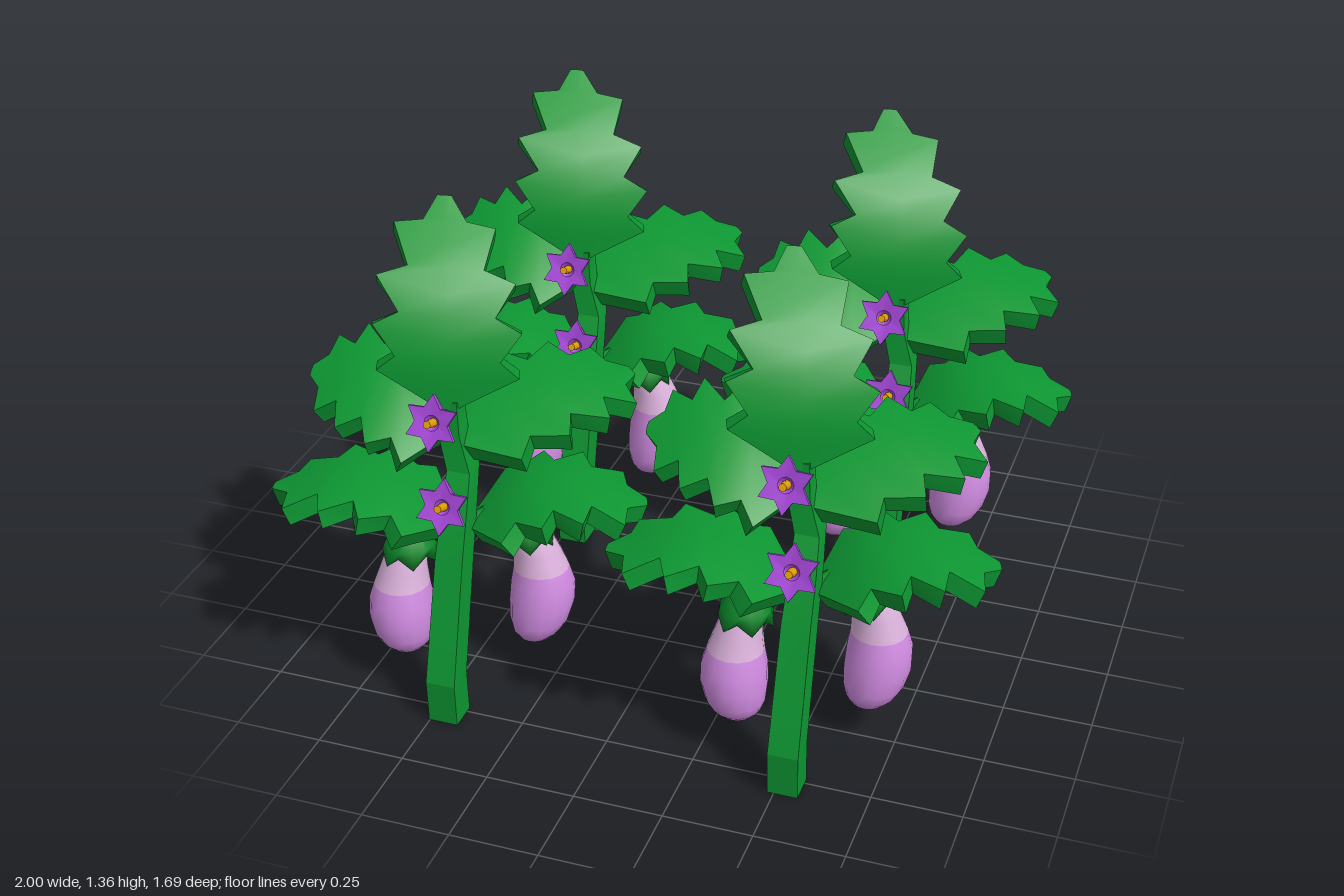
import * as THREE from 'three';
import { toCreasedNormals } from 'three/addons/utils/BufferGeometryUtils.js';

const mat = (name, color) => Object.assign(new THREE.MeshStandardMaterial({ color }), { name });
const V = (p) => new THREE.Vector3(...p);

function addMesh(parent, name, geometry, material) {
  const mesh = new THREE.Mesh(geometry, material);
  mesh.name = name;
  parent.add(mesh);
  return mesh;
}

function indexed(pos, index) {
  const g = new THREE.BufferGeometry();
  g.setAttribute('position', new THREE.Float32BufferAttribute(pos, 3));
  g.setIndex(index);
  g.computeVertexNormals();
  return g;
}

// Level rings from bottom to top: [x, y, z, radius, radius of odd corners, lift of odd corners]
function loft(rings, sides, turn = 0) {
  const pos = [], index = [];
  rings.forEach(([x, y, z, r, rOdd = r, lift = 0], i) => {
    for (let j = 0; j < sides; j++) {
      const a = turn + (j / sides) * Math.PI * 2, q = j % 2 ? rOdd : r;
      pos.push(x + q * Math.cos(a), y + (j % 2 ? lift : 0), z - q * Math.sin(a));
      if (i === rings.length - 1) continue;
      const k = (j + 1) % sides, b = i * sides, t = b + sides;
      index.push(b + j, b + k, t + k, b + j, t + k, t + j);
    }
  });
  return indexed(pos, index);
}

// Toothed outline: [distance along leaf, half width, forward sweep of the tooth]
const TEETH = [
  [0, 0.12, 0], [0.1, 0.55, 0], [0.18, 0.98, 0.02], [0.3, 0.72, 0], [0.4, 1.02, 0.06],
  [0.53, 0.66, 0], [0.62, 0.95, 0.08], [0.74, 0.52, 0], [0.81, 0.7, 0.09], [0.91, 0.3, 0], [1, 0.1, 0],
];

// Thick leaf bent along a curve, with its edges drooping a little
function leafGeometry(spine, across, halfWidth, thick = 0.055) {
  const curve = new THREE.CatmullRomCurve3(spine.map(V));
  const side = V(across).normalize();
  const pos = [], index = [];
  for (const [t, w, sweep] of TEETH) {
    for (const layer of [0, 1]) {
      for (const c of [-1, 0, 1]) {
        const u = Math.min(1, t + Math.abs(c) * sweep);
        const n = curve.getTangent(u).cross(side).normalize();
        const p = curve.getPoint(u)
          .addScaledVector(side, c * w * halfWidth)
          .addScaledVector(n, -layer * thick - Math.abs(c) * w * 0.02);
        pos.push(p.x, p.y, p.z);
      }
    }
  }
  const quad = (a, b, c, d) => index.push(a, b, c, a, c, d);
  for (let r = 0; r < TEETH.length - 1; r++) {
    const a = r * 6, b = a + 6;
    // upper face, lower face, two rims
    quad(a + 1, a, b, b + 1);
    index.push(a + 2, a + 1, b + 1, a + 2, b + 1, b + 2);
    quad(b + 4, b + 3, a + 3, a + 4);
    quad(b + 5, b + 4, a + 4, a + 5);
    quad(a, a + 3, b + 3, b);
    quad(a + 5, a + 2, b + 2, b + 5);
  }
  // blunt ends
  const e = (TEETH.length - 1) * 6;
  for (const c of [0, 1]) {
    quad(c, c + 1, c + 4, c + 3);
    quad(e + c + 1, e + c, e + c + 3, e + c + 4);
  }
  return toCreasedNormals(indexed(pos, index), 0.6);
}

const LEAVES = [
  ['lowerRightLeaf', [[-0.49, 0.53, 0.6], [-0.64, 0.63, 0.62], [-0.8, 0.655, 0.65], [-1, 0.59, 0.68]], [0.17, 0, 0.98], 0.19],
  ['lowerLeftLeaf', [[-0.45, 0.53, 0.6], [-0.32, 0.63, 0.54], [-0.17, 0.655, 0.49], [0.01, 0.59, 0.43]], [-0.36, 0, -0.93], 0.2],
  ['upperRightLeaf', [[-0.5, 0.81, 0.57], [-0.65, 0.89, 0.57], [-0.8, 0.91, 0.54], [-0.94, 0.88, 0.52]], [0.1, -0.45, 0.88], 0.185],
  ['upperLeftLeaf', [[-0.5, 0.77, 0.57], [-0.38, 0.84, 0.43], [-0.25, 0.87, 0.3], [-0.13, 0.835, 0.16]], [-0.77, 0.22, -0.64], 0.19],
  ['topLeaf', [[-0.5, 0.87, 0.59], [-0.495, 1.03, 0.58], [-0.52, 1.2, 0.51], [-0.61, 1.36, 0.3]], [-0.92, 0.1, 0.36], 0.195],
];

// Fruit profile: [height fraction, radius]
const FRUIT = [[0, 0], [0.03, 0.045], [0.09, 0.068], [0.18, 0.084], [0.32, 0.093], [0.47, 0.091],
  [0.6, 0.079], [0.75, 0.066], [0.9, 0.056], [1, 0.04]];

function addFruit(parent, m, name, bottom, top, bend) {
  const group = new THREE.Group();
  group.name = name;
  parent.add(group);
  const sides = 16, split = 6;
  const at = (t) => {
    const s = Math.sin(Math.PI * t);
    return [0, 1, 2].map((k) => bottom[k] + (top[k] - bottom[k]) * t + bend[k] * s);
  };
  const body = loft(FRUIT.map(([t, r]) => [...at(t), r]), sides);
  const cut = split * sides * 6;
  body.addGroup(0, cut, 0);
  body.addGroup(cut, body.index.count - cut, 1);
  addMesh(group, 'fruitBody', body, [m.lilac, m.pale]);
  // jagged cap over the shoulder
  const [x, y, z] = top;
  addMesh(group, 'fruitCap', loft([
    [x, y - 0.03, z, 0.05], [x, y - 0.07, z, 0.08, 0.077, 0.035], [x, y - 0.02, z, 0.072],
    [x, y + 0.02, z, 0.054], [x, y + 0.045, z, 0.028], [x, y + 0.05, z, 0],
  ], 12), m.cap);
  const path = new THREE.CatmullRomCurve3([V([x, y + 0.02, z]),
    V([x * 0.7 - 0.144, y + 0.065, z * 0.7 + 0.186]), V([-0.47, 0.52, 0.64])]);
  addMesh(group, 'fruitStalk', new THREE.TubeGeometry(path, 8, 0.022, 6), m.cap);
}

function addFlower(parent, m, name, p) {
  const group = new THREE.Group();
  group.name = name;
  group.position.set(...p);
  group.rotation.x = 1.23;
  parent.add(group);
  const star = loft([[0, -0.09, 0, 0.008], [0, -0.045, 0, 0.036], [0, -0.012, 0, 0.08, 0.048],
    [0, 0, 0, 0.08, 0.048], [0, -0.006, 0, 0.022], [0, -0.03, 0, 0]], 12, Math.PI / 2);
  addMesh(group, 'petals', toCreasedNormals(star, 0.5), m.petal);
  addMesh(group, 'stamen', new THREE.CylinderGeometry(0.011, 0.013, 0.05, 8), m.stamen);
}

function createPlant(m) {
  const plant = new THREE.Group();
  plant.name = 'plant';
  // square stem, leaning back from its foot
  const stem = loft([[-0.46, 0, 0.775, 0], [-0.46, 0, 0.775, 0.06], [-0.46, 0.13, 0.78, 0.06],
    [-0.465, 0.47, 0.67, 0.057], [-0.465, 0.6, 0.62, 0.052], [-0.47, 0.69, 0.575, 0.048],
    [-0.5, 0.79, 0.56, 0.044], [-0.5, 0.89, 0.56, 0.036], [-0.5, 0.89, 0.56, 0]], 4, Math.PI / 4);
  addMesh(plant, 'stem', toCreasedNormals(stem, 0.3), m.leaf);
  for (const [name, spine, across, width] of LEAVES) {
    addMesh(plant, name, leafGeometry(spine, across, width), m.leaf);
  }
  addFruit(plant, m, 'rightFruit', [-0.64, 0.1, 0.645], [-0.635, 0.45, 0.6], [-0.018, 0, 0.008]);
  addFruit(plant, m, 'leftFruit', [-0.32, 0.1, 0.485], [-0.34, 0.48, 0.465], [0.03, 0, -0.024]);
  addFlower(plant, m, 'upperFlower', [-0.515, 0.865, 0.665]);
  addFlower(plant, m, 'lowerFlower', [-0.485, 0.625, 0.695]);
  return plant;
}

export function createModel() {
  const m = {
    leaf: mat('leafGreen', 0x0d9632),
    cap: mat('capGreen', 0x0b8a2a),
    pale: mat('palePink', 0xdcb2dc),
    lilac: mat('lilac', 0xd18ce2),
    petal: mat('petalPurple', 0xaa4adf),
    stamen: mat('stamenGold', 0xf0a808),
  };
  const model = new THREE.Group();
  model.name = 'cropPlants';
  // two by two planting
  const plant = createPlant(m);
  for (const x of [0, 0.984]) {
    for (const z of [0, -0.98]) {
      const copy = plant.clone();
      copy.position.set(x, 0, z);
      model.add(copy);
    }
  }
  return model;
}
